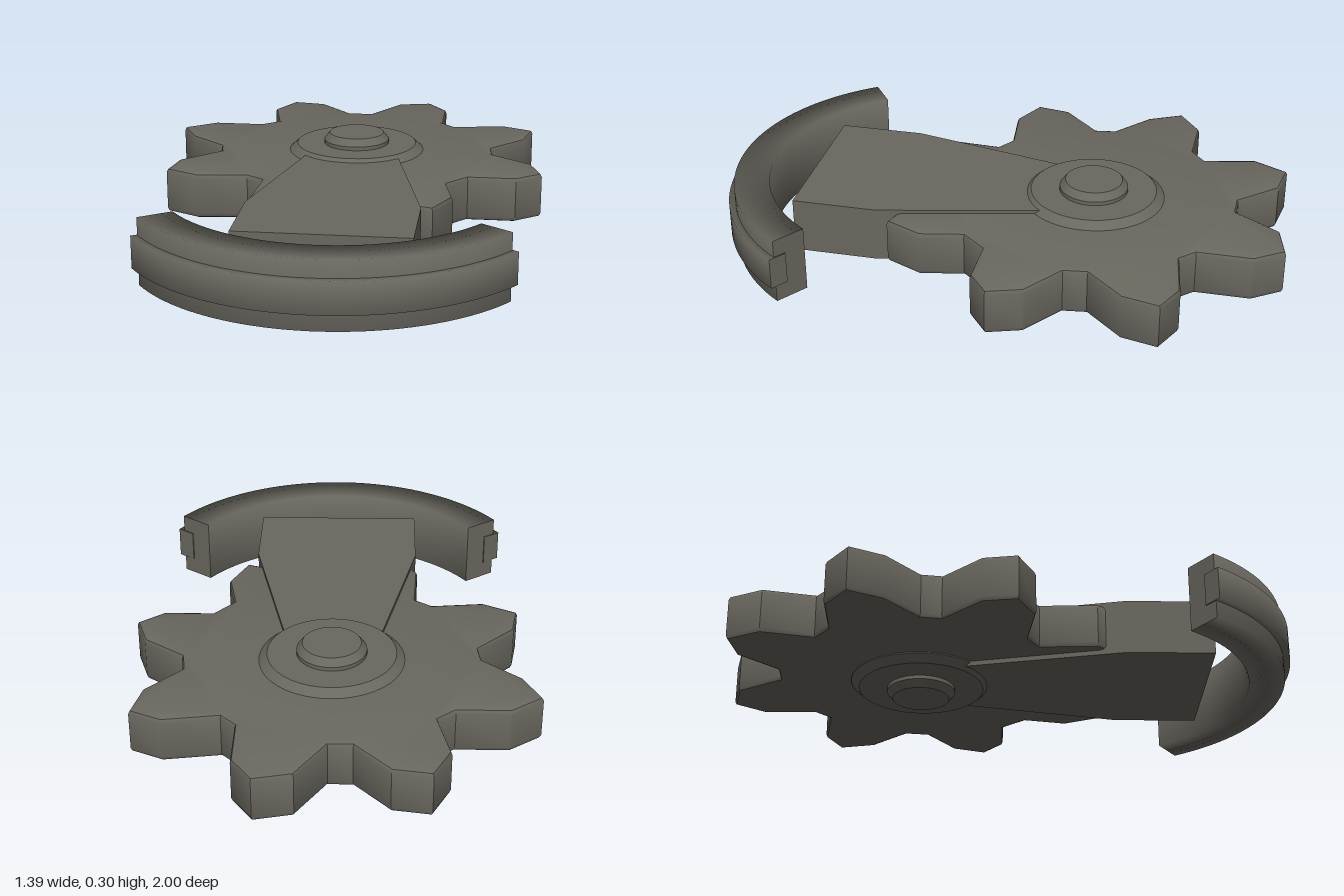
import * as THREE from 'three';
import { toCreasedNormals } from 'three/addons/utils/BufferGeometryUtils.js';

const metal = new THREE.MeshStandardMaterial({ color: 0x6a675f });
metal.name = 'dark metal';

const GEAR_Z = -0.31; // axle position

function addMesh(parent, name, geometry) {
  const mesh = new THREE.Mesh(geometry, metal);
  mesh.name = name;
  parent.add(mesh);
  return mesh;
}

// Horizontal plate between two heights, outlined by [x, z] pairs
function plate(outline, y0, y1, bevel = 0) {
  const shape = new THREE.Shape(outline.map(([x, z]) => new THREE.Vector2(x, -z)));
  const geometry = new THREE.ExtrudeGeometry(shape, {
    depth: y1 - y0 - 2 * bevel,
    bevelEnabled: bevel > 0,
    bevelThickness: bevel,
    bevelSize: bevel,
    bevelOffset: -bevel,
    bevelSegments: 2,
  });
  geometry.rotateX(-Math.PI / 2).translate(0, y0 + bevel, 0);
  return toCreasedNormals(geometry, 0.65);
}

// Disc with chamfered rims on both ends
function chamferedDisc(radius, y0, y1, chamferR, chamferY) {
  const profile = [
    [0, y0], [radius - chamferR, y0], [radius, y0 + chamferY],
    [radius, y1 - chamferY], [radius - chamferR, y1], [0, y1],
  ].map(([r, y]) => new THREE.Vector2(r, y));
  return toCreasedNormals(new THREE.LatheGeometry(profile, 40), 0.5);
}

// Curved bar with a rectangular section, softly shaded, with flat end caps
function curvedBar(name, r0, r1, y0, y1, halfAngle) {
  const bar = new THREE.Group();
  bar.name = name;
  const rMid = (r0 + r1) / 2;
  const profile = [
    [rMid, y0], [r1, y0], [r1, y1], [r0, y1], [r0, y0], [rMid, y0],
  ].map(([r, y]) => new THREE.Vector2(r, y));
  addMesh(bar, name + 'Body', new THREE.LatheGeometry(profile, 40, -halfAngle, 2 * halfAngle));
  for (const side of [-1, 1]) {
    const cap = addMesh(bar, name + 'End', new THREE.PlaneGeometry(r1 - r0, y1 - y0));
    cap.rotation.y = side * (Math.PI / 2 + halfAngle);
    cap.position.set(side * rMid * Math.sin(halfAngle), (y0 + y1) / 2, rMid * Math.cos(halfAngle));
  }
  return bar;
}

export function createModel() {
  const model = new THREE.Group();
  model.name = 'gearAndGuide';

  // Rough, slightly uneven gear with eight blunt teeth
  addMesh(model, 'gear', plate([
    [-0.33, -0.96], [-0.2, -0.94], [-0.08, -0.81], [0, -0.81],
    [0.1, -0.97], [0.23, -1], [0.3, -0.9], [0.3, -0.71], [0.35, -0.66],
    [0.54, -0.69], [0.65, -0.64], [0.62, -0.51], [0.5, -0.38], [0.51, -0.3],
    [0.65, -0.2], [0.69, -0.08], [0.6, -0.01], [0.43, -0.01], [0.36, 0.07],
    [0.39, 0.22], [0.33, 0.35], [0.27, 0.33], [0.14, 0.2], [-0.02, 0.19],
    [-0.1, 0.32], [-0.2, 0.35], [-0.27, 0.34], [-0.3, 0.3], [-0.29, 0.1], [-0.35, 0.06],
    [-0.53, 0.08], [-0.65, 0.02], [-0.63, -0.1], [-0.5, -0.23], [-0.51, -0.3],
    [-0.64, -0.41], [-0.7, -0.53], [-0.59, -0.61], [-0.41, -0.61], [-0.35, -0.66],
    [-0.39, -0.84],
  ], 0.067, 0.233, 0.016));

  // Hub collar and axle pin
  addMesh(model, 'hub', chamferedDisc(0.248, 0.038, 0.258, 0.028, 0.025)).position.z = GEAR_Z;
  addMesh(model, 'axlePin', chamferedDisc(0.12, 0, 0.297, 0.02, 0.025)).position.z = GEAR_Z;

  // Arm widening away from the hub
  addMesh(model, 'arm', plate([
    [-0.165, -0.18], [-0.295, 0.4], [-0.295, 0.7], [0.295, 0.7], [0.295, 0.4], [0.165, -0.18],
  ], 0.05, 0.246));

  // Curved guide with a raised outer rib
  const guide = new THREE.Group();
  guide.name = 'curvedGuide';
  guide.position.z = 0.24;
  guide.add(curvedBar('guideBar', 0.61, 0.735, 0.032, 0.266, 0.962));
  guide.add(curvedBar('guideRib', 0.69, 0.757, 0.093, 0.205, 0.968));
  model.add(guide);

  return model;
}
